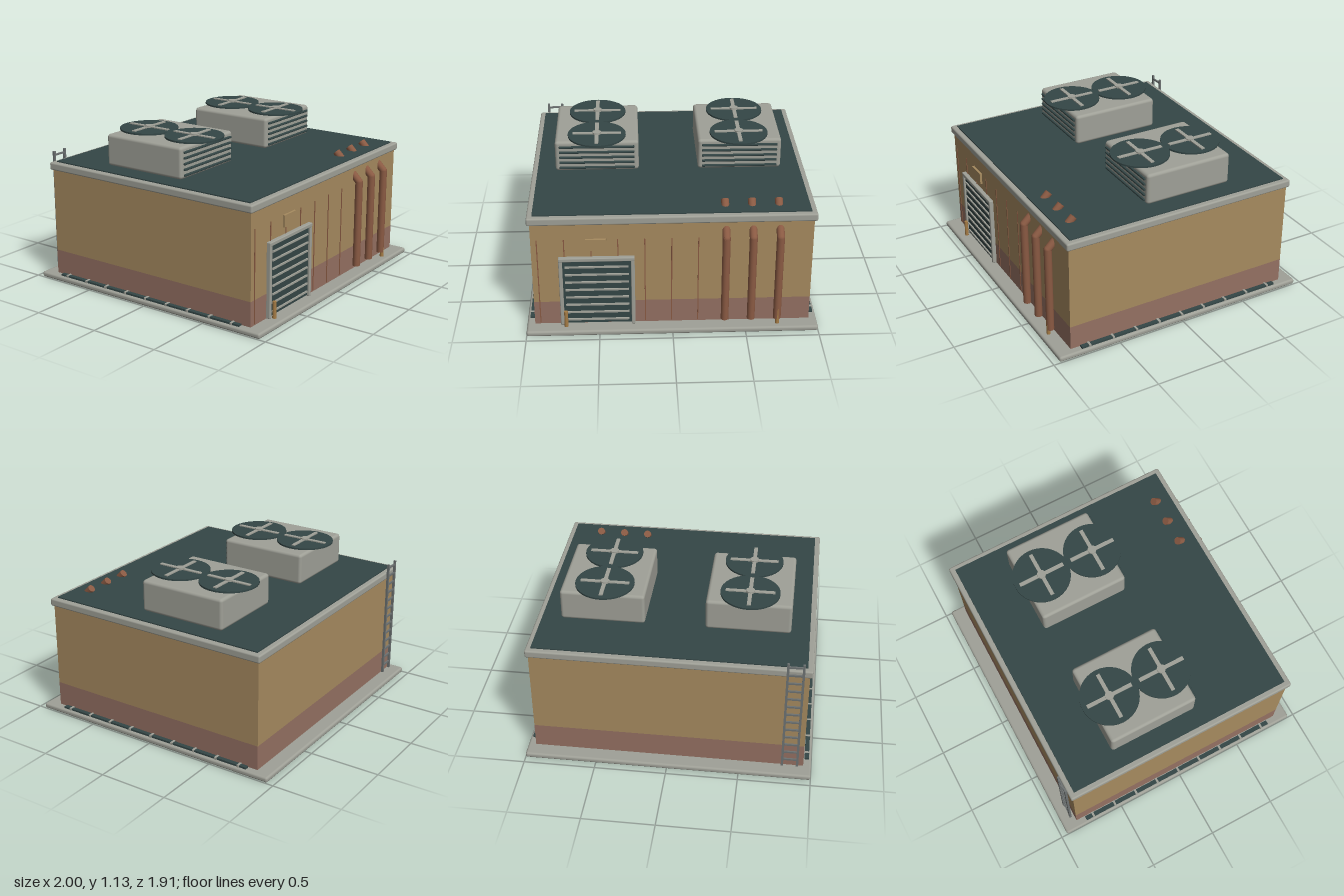
import * as THREE from 'three';
import { RoundedBoxGeometry } from 'three/addons/geometries/RoundedBoxGeometry.js';

const material = (name, color) => {
  const m = new THREE.MeshStandardMaterial({ color });
  m.name = name;
  return m;
};

export function createModel() {
  const grey = material('pale grey metal', 0x9fa097);
  const dark = material('dark slate', 0x344646);
  const tan = material('tan wall', 0xa68a5f);
  const brick = material('dusty red plinth', 0x947062);
  const copper = material('copper brown', 0x8a5a43);
  const steel = material('ladder steel', 0x6d7272);
  const ochre = material('ochre post', 0xa67c45);

  const model = new THREE.Group();
  model.name = 'utilityBuilding';

  const add = (parent, name, geometry, mat, x, y, z) => {
    const mesh = new THREE.Mesh(geometry, mat);
    mesh.name = name;
    mesh.position.set(x, y, z);
    parent.add(mesh);
    return mesh;
  };
  const box = (parent, name, mat, w, h, d, x, y, z) =>
    add(parent, name, new THREE.BoxGeometry(w, h, d), mat, x, y, z);
  const rounded = (parent, name, mat, w, h, d, r, x, y, z) =>
    add(parent, name, new RoundedBoxGeometry(w, h, d, 2, r), mat, x, y, z);
  const group = (name, x = 0, y = 0, z = 0) => {
    const g = new THREE.Group();
    g.name = name;
    g.position.set(x, y, z);
    model.add(g);
    return g;
  };

  // Slab, walls and roof
  rounded(model, 'foundationSlab', grey, 2, 0.04, 1.908, 0.016, 0, 0.02, 0);
  box(model, 'plinthBand', brick, 1.89, 0.175, 1.696, 0, 0.1275, 0);
  box(model, 'walls', tan, 1.89, 0.615, 1.696, 0, 0.5225, 0);
  rounded(model, 'roofRim', grey, 1.93, 0.055, 1.732, 0.012, 0, 0.843, 0);
  box(model, 'roofSheet', dark, 1.855, 0.02, 1.656, 0, 0.868, 0);

  // Vertical seams on the front wall
  for (let i = 0; i < 7; i++) {
    box(model, 'wallSeam', copper, 0.007, 0.65, 0.006, -0.905 + i * 0.18, 0.375, 0.849);
  }

  // Shutter door with frame and slats
  const door = group('shutterDoor', -0.51, 0, 0.86);
  box(door, 'shutterPanel', dark, 0.47, 0.5, 0.014, 0, 0.3, -0.005);
  for (const side of [-1, 1]) {
    rounded(door, 'doorPost', grey, 0.026, 0.525, 0.034, 0.006, side * 0.243, 0.3025, 0);
  }
  rounded(door, 'doorLintel', grey, 0.512, 0.028, 0.036, 0.006, 0, 0.556, 0);
  for (let i = 0; i < 8; i++) {
    box(door, 'doorSlat', grey, 0.43, 0.012, 0.014, 0, 0.08 + i * 0.0595, 0.005);
  }

  // Blank plate above the door
  box(model, 'wallPlate', tan, 0.14, 0.084, 0.016, -0.51, 0.663, 0.856);

  // Short guard posts
  for (const [x, z] of [[-0.728, 0.888], [0.72, 0.899]]) {
    add(model, 'guardPost', new THREE.CylinderGeometry(0.013, 0.014, 0.12, 10), ochre, x, 0.1, z);
  }

  // Pipes rising up the wall, then slanting through it and out of the roof
  for (const x of [0.358, 0.538, 0.719]) {
    const pipe = group('wallPipe', x);
    add(pipe, 'riser', new THREE.CylinderGeometry(0.027, 0.027, 0.635, 14), copper, 0, 0.3925, 0.885);
    add(pipe, 'elbow', new THREE.SphereGeometry(0.027, 14, 8), copper, 0, 0.71, 0.885);
    const slant = add(pipe, 'slantedVent',
      new THREE.CylinderGeometry(0.027, 0.027, 0.272, 14), copper, 0, 0.806, 0.789);
    slant.rotation.x = -Math.PI / 4;
  }

  // Roof cooling units with twin fans
  for (const x of [-0.505, 0.5]) {
    const unit = group('coolingUnit', x, 0, -0.143);
    rounded(unit, 'unitCasing', grey, 0.588, 0.224, 0.648, 0.022, 0, 0.988, 0);
    for (let i = 0; i < 5; i++) {
      rounded(unit, 'louvre', dark, 0.53, 0.015, 0.025, 0.005, 0, 0.903 + i * 0.0395, 0.325);
    }
    for (const z of [-0.186, 0.213]) {
      add(unit, 'fanDisc', new THREE.CylinderGeometry(0.205, 0.205, 0.012, 36), dark, 0, 1.106, z);
      box(unit, 'fanBlade', grey, 0.34, 0.007, 0.027, 0, 1.1155, z);
      box(unit, 'fanBlade', grey, 0.027, 0.007, 0.34, 0, 1.1155, z);
      add(unit, 'fanHub', new THREE.CylinderGeometry(0.031, 0.031, 0.014, 14), grey, 0, 1.119, z);
    }
  }

  // Ladder up the back wall
  const ladder = group('backLadder', -0.85, 0, -0.877);
  for (const side of [-1, 1]) {
    box(ladder, 'ladderRail', steel, 0.016, 0.875, 0.016, side * 0.052, 0.4975, 0);
  }
  for (let i = 0; i < 13; i++) {
    box(ladder, 'ladderRung', steel, 0.1, 0.012, 0.012, 0, 0.115 + i * 0.066, 0);
  }

  // Drain channels with clips along both sides
  for (const side of [-1, 1]) {
    const drain = group('sideDrain', side * 0.967);
    box(drain, 'drainChannel', dark, 0.03, 0.014, 1.56, 0, 0.046, 0);
    for (let i = 0; i < 9; i++) {
      box(drain, 'drainClip', grey, 0.04, 0.018, 0.016, 0, 0.047, -0.72 + i * 0.18);
    }
  }

  return model;
}
